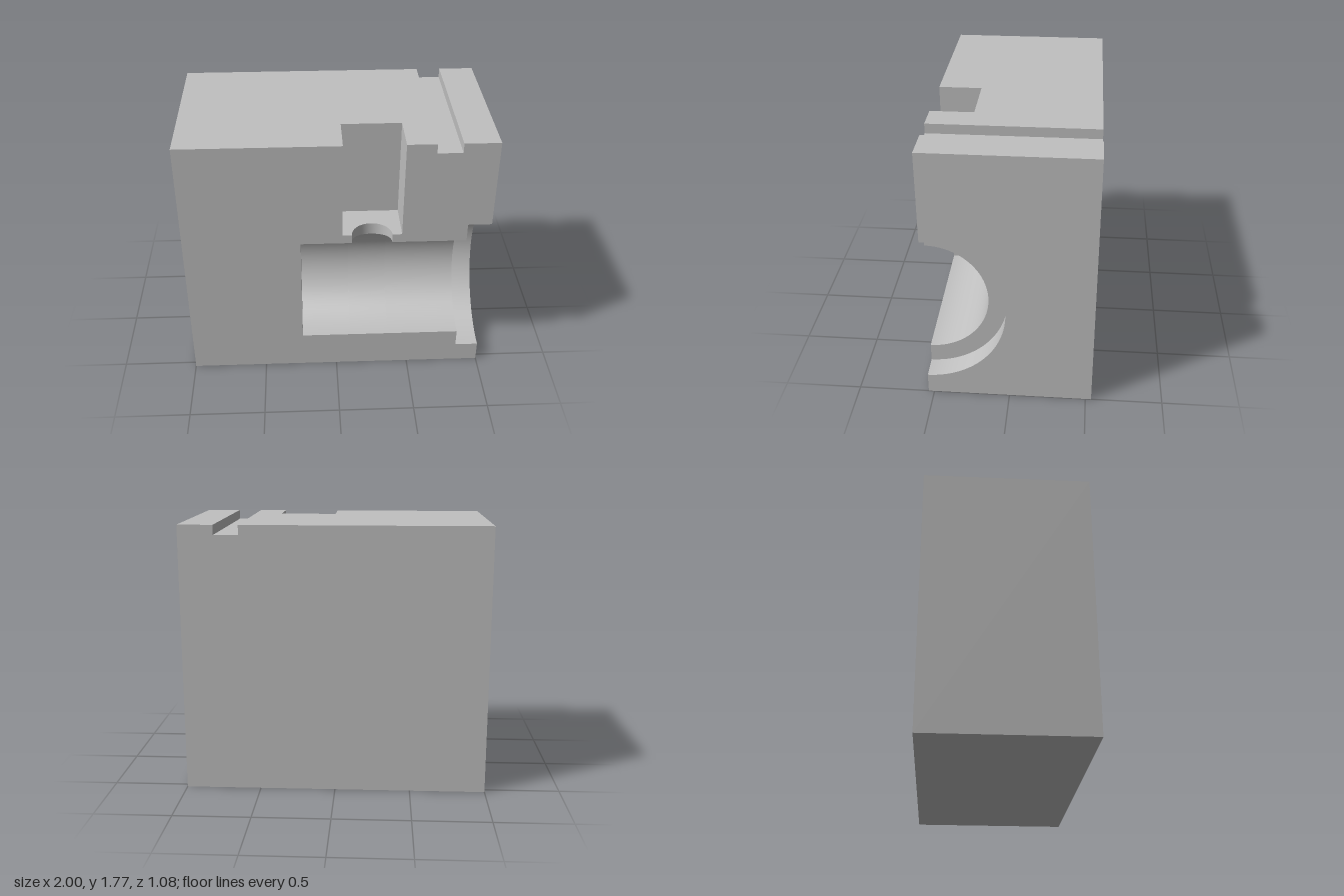
import * as THREE from 'three';
import { ParametricGeometry } from 'three/addons/geometries/ParametricGeometry.js';

// Block extents
const D = 0.538, H = 1.77;
// Top slot: left, right, floor
const SL = 0.61, SR = 0.77, SF = 1.706;
// Rectangular pocket: left, right, back, floor
const PL = 0.035, PR = 0.422, PZ = 0.258, PF = 1.11;
// Horizontal bore: axis height, radius, blind end; counterbore radius and shoulder
const AY = 0.655, R = 0.394, BL = -0.235, C = 0.517, CB = 0.845;
// Small vertical hole joining pocket and bore
const HX = 0.229, HR = 0.132;

// Outward direction of a flat face: local axes u, v and the sign applied to the first or second coordinate
const FACING = {
  front: { u: [1, 0, 0], v: [0, 1, 0], s: [1, 1] },   // points are (x, y)
  back: { u: [-1, 0, 0], v: [0, 1, 0], s: [-1, 1] },  // (x, y)
  right: { u: [0, 0, -1], v: [0, 1, 0], s: [-1, 1] }, // (z, y)
  left: { u: [0, 0, 1], v: [0, 1, 0], s: [1, 1] },    // (z, y)
  top: { u: [1, 0, 0], v: [0, 0, -1], s: [1, -1] },   // (x, z)
  bottom: { u: [1, 0, 0], v: [0, 0, 1], s: [1, 1] },  // (x, z)
};

const rect = (a0, b0, a1, b1) => [[a0, b0], [a1, b0], [a1, b1], [a0, b1]];

// Half circle in (z, y) about the bore axis, from top to bottom
function boreArc(r, n = 64) {
  return Array.from({ length: n + 1 }, (_, i) => {
    const t = (Math.PI * i) / n;
    return [D - r * Math.sin(t), AY + r * Math.cos(t)];
  });
}

export function createModel() {
  const group = new THREE.Group();
  const metal = new THREE.MeshStandardMaterial({ color: 0xc0c0c0 });
  metal.name = 'plain grey';

  function add(name, geometry) {
    const mesh = new THREE.Mesh(geometry, metal);
    mesh.name = name;
    group.add(mesh);
  }

  // Flat face lying at the given offset along its own axis
  function face(name, facing, offset, points) {
    const { u, v, s } = FACING[facing];
    const shape = new THREE.Shape(points.map(([a, b]) => new THREE.Vector2(a * s[0], b * s[1])));
    const U = new THREE.Vector3(...u), V = new THREE.Vector3(...v);
    const N = U.clone().cross(V);
    const m = new THREE.Matrix4().makeBasis(U, V, N);
    const sign = N.x + N.y + N.z;
    m.setPosition(N.multiplyScalar(offset * sign));
    add(name, new THREE.ShapeGeometry(shape).applyMatrix4(m));
  }

  // Curved wall
  function wall(name, fn, nu, nv) {
    const g = new ParametricGeometry(fn, nu, nv);
    g.computeVertexNormals();
    add(name, g);
  }

  // Outer faces
  face('frontFace', 'front', D, [
    [-1, 0], [1, 0], [1, AY - C], [CB, AY - C], [CB, AY - R], [BL, AY - R], [BL, AY + R],
    [HX - HR, AY + R], [HX - HR, PF], [PL, PF], [PL, H], [-1, H],
  ]);
  face('frontFaceUpper', 'front', D, [
    [HX + HR, AY + R], [CB, AY + R], [CB, AY + C], [1, AY + C], [1, H], [SR, H], [SR, SF],
    [SL, SF], [SL, H], [PR, H], [PR, PF], [HX + HR, PF],
  ]);
  face('backFace', 'back', -D, [
    [-1, 0], [1, 0], [1, H], [SR, H], [SR, SF], [SL, SF], [SL, H], [-1, H],
  ]);
  face('plainEnd', 'left', -1, rect(-D, 0, D, H));
  face('boredEnd', 'right', 1, [[-D, 0], [-D, H], [D, H], ...boreArc(C), [D, 0]]);
  face('underside', 'bottom', 0, rect(-1, -D, 1, D));
  face('topFace', 'top', H, [
    [-1, -D], [SL, -D], [SL, D], [PR, D], [PR, PZ], [PL, PZ], [PL, D], [-1, D],
  ]);
  face('topRim', 'top', H, rect(SR, -D, 1, D));

  // Slot across the top
  face('slotFloor', 'top', SF, rect(SL, -D, SR, D));
  face('slotWall', 'right', SL, rect(-D, SF, D, H));
  face('slotWall', 'left', SR, rect(-D, SF, D, H));

  // Rectangular pocket
  face('pocketBack', 'front', PZ, rect(PL, PF, PR, H));
  face('pocketSide', 'right', PL, rect(PZ, PF, D, H));
  face('pocketSide', 'left', PR, rect(PZ, PF, D, H));
  const holeArc = Array.from({ length: 33 }, (_, i) => {
    const t = (Math.PI * i) / 32;
    return [HX + HR * Math.cos(t), D - HR * Math.sin(t)];
  });
  face('pocketFloor', 'top', PF, [[PL, D], [PL, PZ], [PR, PZ], [PR, D], ...holeArc]);

  // Vertical hole, ending on the curve of the bore
  wall('holeWall', (u, v, p) => {
    const t = Math.PI * u, depth = HR * Math.sin(t);
    const low = AY + Math.sqrt(R * R - depth * depth);
    p.set(HX + HR * Math.cos(t), PF + (low - PF) * v, D - depth);
  }, 32, 1);

  // Half-cylinder walls; start(u) is the angle at which the wall begins
  function halfTube(name, r, xAt, start, nu) {
    wall(name, (u, v, p) => {
      const a = Math.PI + (start(u) - Math.PI) * v;
      p.set(xAt(u), AY + r * Math.cos(a), D - r * Math.sin(a));
    }, nu, 64);
  }
  const span = (a, b) => (u) => a + (b - a) * u;
  const zero = () => 0;
  halfTube('boreWall', R, span(BL, HX - HR), zero, 1);
  halfTube('boreWallAtHole', R, (u) => HX - HR * Math.cos(Math.PI * u),
    (u) => Math.asin((HR * Math.sin(Math.PI * u)) / R), 32);
  halfTube('boreWall', R, span(HX + HR, CB), zero, 1);
  halfTube('counterboreWall', C, span(CB, 1), zero, 1);

  // Blind end and shoulder of the bore
  face('boreEnd', 'right', BL, boreArc(R));
  face('counterboreShoulder', 'right', CB, [...boreArc(C), ...boreArc(R).reverse()]);

  return group;
}
